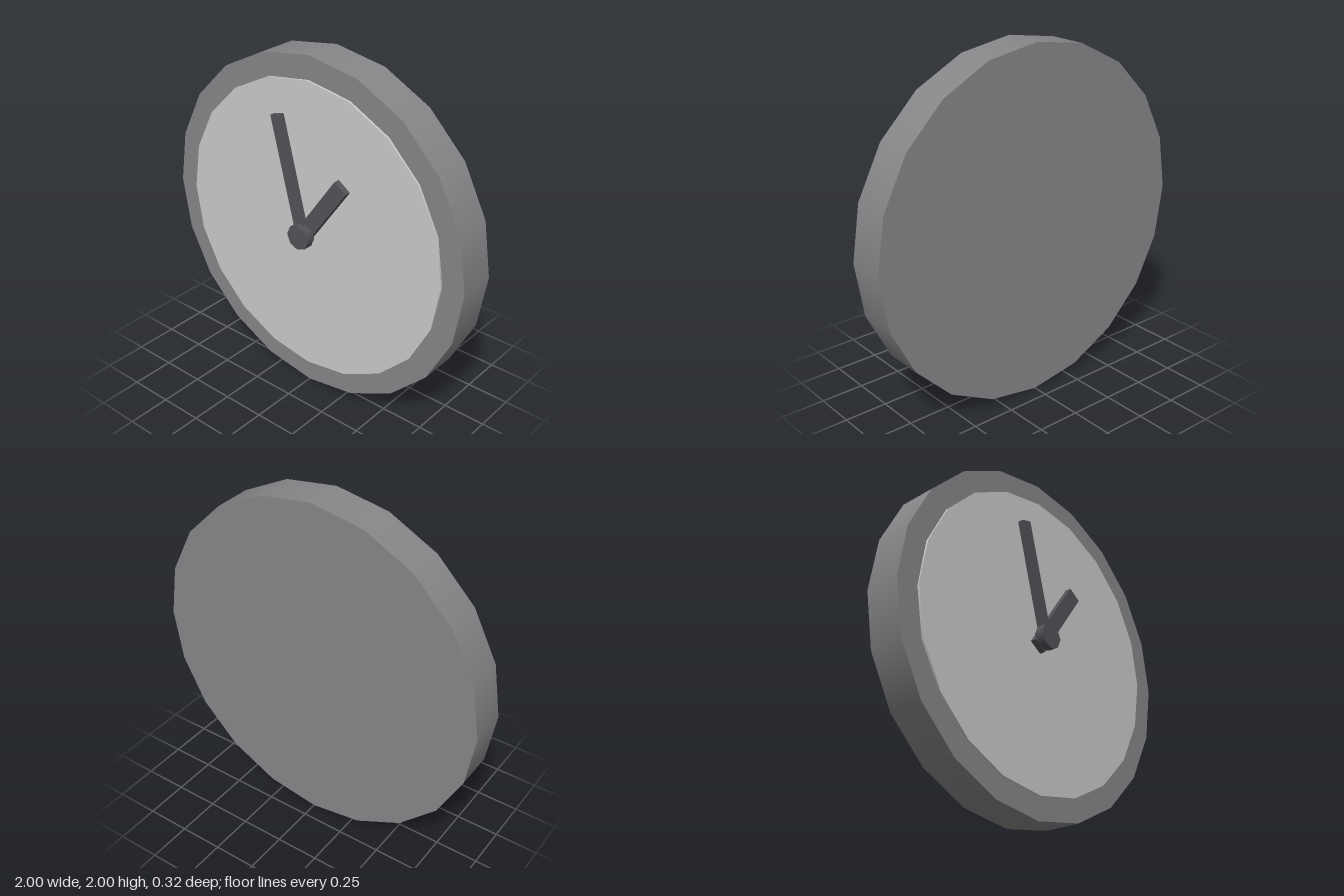
import * as THREE from 'three';

const paint = (color) => new THREE.MeshStandardMaterial({ color });
const bodyMaterial = paint(0x87878a);
const faceMaterial = paint(0xcccccc);
const handMaterial = paint(0x535359);

// Disc facing +z, between two depths, centred on the clock's axis
function disc(name, radius, sides, back, front, material) {
  const geometry = new THREE.CylinderGeometry(radius, radius, front - back, sides);
  geometry.rotateX(Math.PI / 2);
  const mesh = new THREE.Mesh(geometry, material);
  mesh.name = name;
  mesh.position.set(0, 1, (back + front) / 2);
  return mesh;
}

// Straight hand from radius `start` to radius `end`, turned clockwise from twelve
function hand(name, width, start, end, back, front, degrees) {
  const geometry = new THREE.BoxGeometry(width, end - start, front - back);
  geometry.translate(0, (start + end) / 2, 0);
  const mesh = new THREE.Mesh(geometry, handMaterial);
  mesh.name = name;
  mesh.position.set(0, 1, (back + front) / 2);
  mesh.rotation.z = -THREE.MathUtils.degToRad(degrees);
  return mesh;
}

export function createModel() {
  const clock = new THREE.Group();
  clock.name = 'wallClock';
  clock.add(
    disc('clockBody', 1, 20, -0.16, 0.0625, bodyMaterial),
    // dial set into the body, standing slightly proud of it
    disc('dial', 0.87, 20, -0.15, 0.075, faceMaterial),
    hand('hourHand', 0.09, -0.07, 0.443, 0.08, 0.115, 35),
    hand('minuteHand', 0.065, 0.02, 0.68, 0.1, 0.134, -14.5),
    disc('handHub', 0.073, 8, 0.105, 0.16, handMaterial),
  );
  return clock;
}
